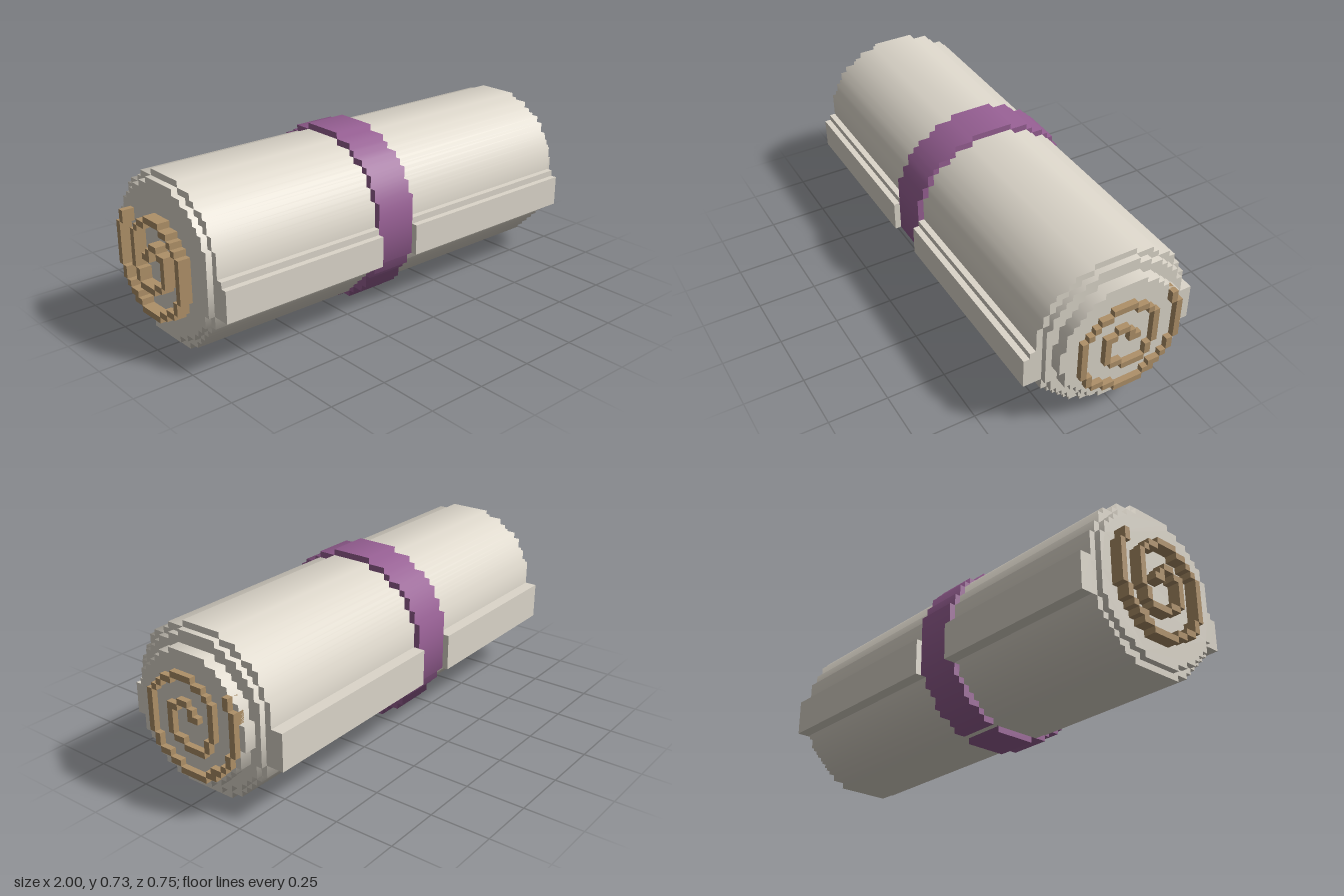
import * as THREE from 'three';

const V = 2 / 77;          // voxel size
const ROWS = 28;           // rows of voxels in height
const CY = ROWS * V / 2;   // axis height
const X = n => -1 + n * V; // x of the n-th voxel edge

const paper = new THREE.MeshStandardMaterial({ color: 0xdcd6ca });
paper.name = 'paper';
const edgeBrown = new THREE.MeshStandardMaterial({ color: 0xae9068 });
edgeBrown.name = 'edgeBrown';
const ribbon = new THREE.MeshStandardMaterial({ color: 0x965f93 });
ribbon.name = 'ribbon';

// Stepped roll along x: one half width (in voxels) per row, smooth round the axis
function roll(name, material, firstRow, halves, x0, x1) {
  const right = [], left = [];
  halves.forEach((h, i) => {
    const w = (h + 0.5) * V, y = (firstRow + i) * V;
    right.push(new THREE.Vector2(w, y), new THREE.Vector2(w, y + V));
    left.push(new THREE.Vector2(-w, y), new THREE.Vector2(-w, y + V));
  });
  const outline = [...right, ...left.reverse()].filter((p, i, all) => {
    const q = all[(i + 1) % all.length];
    return p.distanceTo(q) > 1e-6;
  });
  const geo = new THREE.ExtrudeGeometry(new THREE.Shape(outline), { depth: X(x1) - X(x0), bevelEnabled: false });
  geo.rotateY(Math.PI / 2).translate(X(x0), 0, 0);
  const pos = geo.attributes.position, nor = geo.attributes.normal;
  for (let i = 0; i < pos.count; i++) {
    if (Math.abs(nor.getX(i)) > 0.5) continue;
    const n = new THREE.Vector3(0, pos.getY(i) - CY, pos.getZ(i)).normalize();
    nor.setXYZ(i, n.x, n.y, n.z);
  }
  const mesh = new THREE.Mesh(geo, material);
  mesh.name = name;
  return mesh;
}

// Half widths of a voxel disc
function disc(firstRow, radius) {
  const halves = [];
  for (let r = firstRow; r < ROWS - firstRow; r++) {
    halves.push(Math.floor(Math.sqrt(radius ** 2 - (r - 13.5) ** 2)));
  }
  return halves;
}

// Block of voxels: x edges, z cells (inclusive), rows (inclusive)
function block(name, material, x0, x1, c0, c1, r0, r1) {
  const geo = new THREE.BoxGeometry((x1 - x0) * V, (r1 - r0 + 1) * V, (c1 - c0 + 1) * V);
  geo.translate((X(x0) + X(x1)) / 2, (r0 + r1 + 1) / 2 * V, (c0 + c1) / 2 * V);
  const mesh = new THREE.Mesh(geo, material);
  mesh.name = name;
  return mesh;
}

export function createModel() {
  const model = new THREE.Group();
  model.name = 'rolledScroll';

  // Rolled paper, with inner turns stepping out at the ends
  const bodyHalves = [4, 6, 7, 8, 9, 10, 11, 11, ...Array(10).fill(12), 11, 11, 10, 10, 9, 7, 6, 3];
  model.add(roll('outerTurn', paper, 1, bodyHalves, 3, 73));
  model.add(roll('middleTurn', paper, 2, disc(2, 11.95), 2, 74));
  model.add(roll('innerTurn', paper, 4, disc(4, 10.2), 2.01, 76));

  // Ribbon round the middle
  const bandHalves = [3, 6, 7, 9, 10, 10, 11, 12, 12, ...Array(10).fill(13), 12, 12, 11, 11, 10, 9, 7, 6, 3];
  model.add(roll('ribbonBand', ribbon, 0, bandHalves, 32, 39));

  // Raised paper edges on both sides of the ribbon
  for (const [x0, x1] of [[3, 32], [39, 73]]) {
    model.add(block('frontEdge', paper, x0, x1, 13, 14, 9, 13));
    model.add(block('frontEdgeStep', paper, x0, x1, 13, 13, 14, 14));
    model.add(block('backEdge', paper, x0, x1, -14, -13, 9, 14));
  }

  // Brown spiral showing at both ends: z cells, rows
  const spiral = new THREE.Group();
  spiral.name = 'spiral';
  const runs = [
    [-8, -8, 18, 19], [-9, -9, 11, 17], [-8, -8, 9, 10], [-7, -7, 8, 8], [-6, -5, 7, 7],
    [-5, -4, 6, 6], [-3, 1, 5, 5], [2, 3, 6, 6], [4, 5, 7, 7], [6, 6, 8, 9],
    [7, 7, 10, 16], [6, 6, 17, 17], [5, 5, 18, 18], [3, 4, 19, 19], [-1, 2, 20, 20],
    [-3, -2, 19, 19], [-4, -4, 18, 18], [-5, -5, 12, 17], [-4, -4, 10, 11], [-3, 0, 9, 9],
    [1, 2, 10, 10], [3, 3, 11, 15], [2, 2, 15, 15], [0, 1, 16, 16], [-1, -1, 15, 15], [-2, -1, 14, 14],
  ];
  for (const [c0, c1, r0, r1] of runs) {
    spiral.add(block('spiralLeftEnd', edgeBrown, 75, 77, c0, c1, r0, r1));
    spiral.add(block('spiralRightEnd', edgeBrown, 0, 3, c0, c1, r0, r1));
  }
  model.add(spiral);
  return model;
}
